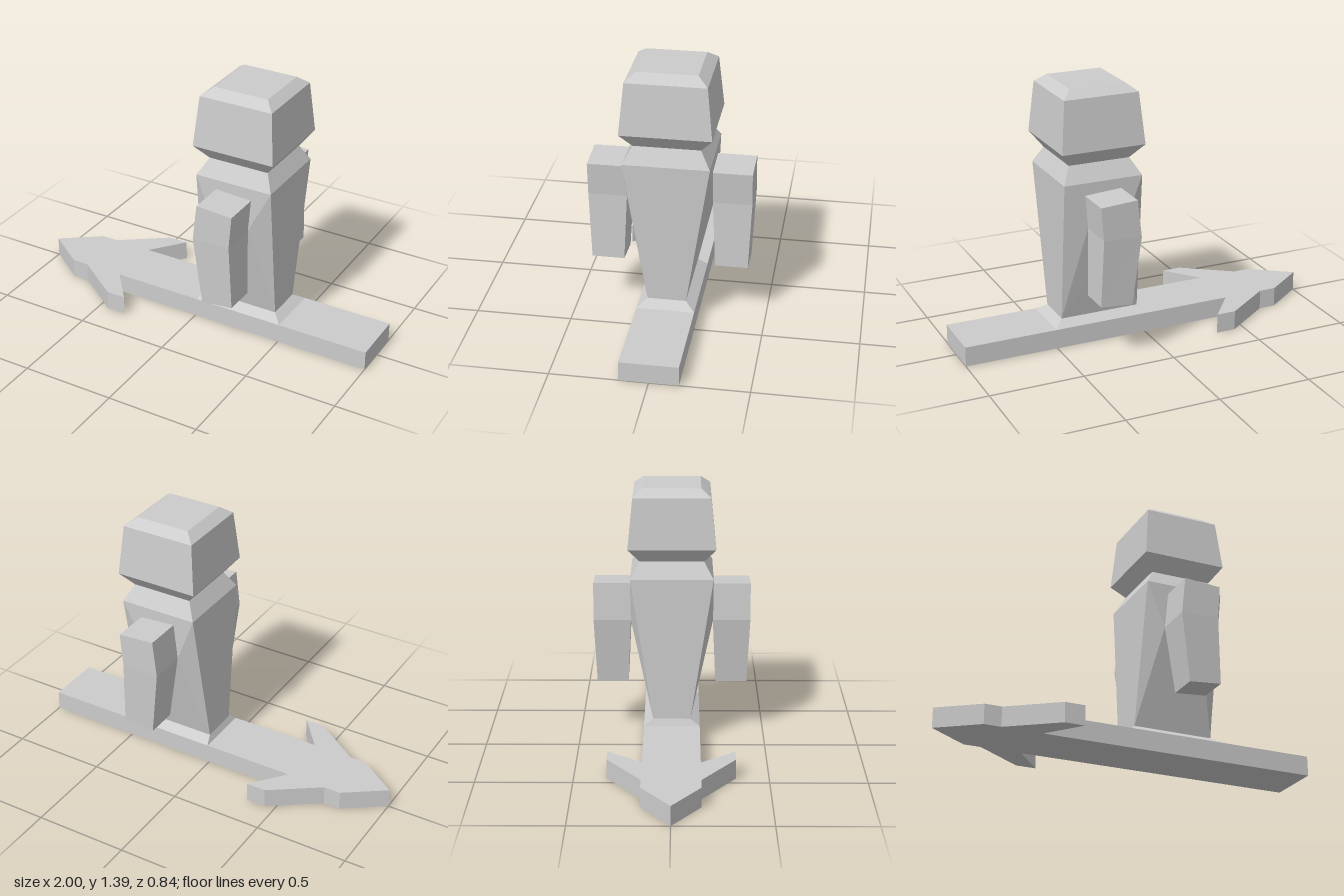
import * as THREE from 'three';
import { ConvexGeometry } from 'three/addons/geometries/ConvexGeometry.js';

const material = new THREE.MeshStandardMaterial({ color: 0xcccccc, flatShading: true });

function addMesh(group, name, geometry) {
  const mesh = new THREE.Mesh(geometry, material);
  mesh.name = name;
  group.add(mesh);
}

// Four corners of a section, counter-clockwise from above; yA at x0, yB at x1
const ring = (x0, x1, z0, z1, yA, yB = yA) => [
  [x0, yA, z1], [x1, yB, z1], [x1, yB, z0], [x0, yA, z0],
];

// Joins four-cornered rings, listed bottom to top, into a faceted solid
function loft(rings, capBottom = true, capTop = true) {
  const pos = [];
  const quad = (a, b, c, d) => pos.push(...a, ...b, ...c, ...a, ...c, ...d);
  for (let r = 0; r < rings.length - 1; r++) {
    const low = rings[r], high = rings[r + 1];
    for (let i = 0; i < 4; i++) {
      const j = (i + 1) % 4;
      quad(low[i], low[j], high[j], high[i]);
    }
  }
  const first = rings[0], last = rings[rings.length - 1];
  if (capBottom) quad(first[3], first[2], first[1], first[0]);
  if (capTop) quad(...last);
  const geometry = new THREE.BufferGeometry();
  geometry.setAttribute('position', new THREE.Float32BufferAttribute(pos, 3));
  geometry.computeVertexNormals();
  return geometry;
}

export function createModel() {
  const model = new THREE.Group();
  model.name = 'figureOnArrow';

  // Arrow-shaped base with swept barbs
  const half = [[-0.79, 0.15], [-0.7, 0.15], [-0.445, 0.33], [-0.34, 0.33], [-0.485, 0.15], [1, 0.15]];
  const outline = [
    [-1, 0],
    ...half.map(([x, y]) => [x, -y]),
    ...half.slice().reverse(),
  ].map(([x, y]) => new THREE.Vector2(x, y));
  const base = new THREE.ExtrudeGeometry(new THREE.Shape(outline), { depth: 0.105, bevelEnabled: false });
  base.rotateX(-Math.PI / 2);
  addMesh(model, 'arrowBase', base);

  // Flare where the body meets the base
  addMesh(model, 'foot', loft([
    ring(0.01, 0.505, -0.15, 0.15, 0.105),
    ring(0.025, 0.455, -0.1, 0.1, 0.14),
  ], false, false));

  // Tapered torso with sloped shoulders and flat arm seats on both sides
  const torso = [
    ...ring(0.025, 0.455, -0.1, 0.1, 0.14),
    ...ring(0.145, 0.35, -0.22, 0.22, 0.66, 0.67),
    ...ring(0.05, 0.475, -0.22, 0.22, 0.91),
    ...ring(0.1, 0.43, -0.17, 0.17, 0.997),
  ].map((p) => new THREE.Vector3(...p));
  addMesh(model, 'torso', new ConvexGeometry(torso));

  // Head with undercut jaw and bevelled crown
  addMesh(model, 'head', loft([
    ring(0.1, 0.43, -0.17, 0.17, 0.997),
    ring(0.037, 0.488, -0.232, 0.232, 1.075),
    ring(0.062, 0.463, -0.205, 0.205, 1.345),
    ring(0.115, 0.413, -0.153, 0.153, 1.387),
  ], false));

  // Bent arms, mirrored front to back
  for (const [name, side] of [['frontArm', 1], ['backArm', -1]]) {
    const section = (x0, x1, inner, outer, yA, yB) => ring(
      x0, x1, Math.min(side * inner, side * outer), Math.max(side * inner, side * outer), yA, yB);
    addMesh(model, name, loft([
      section(0.19, 0.362, 0.237, 0.405, 0.295, 0.31),
      section(0.145, 0.35, 0.22, 0.42, 0.66, 0.67),
      section(0.167, 0.365, 0.22, 0.42, 0.858, 0.845),
    ]));
  }
  return model;
}
